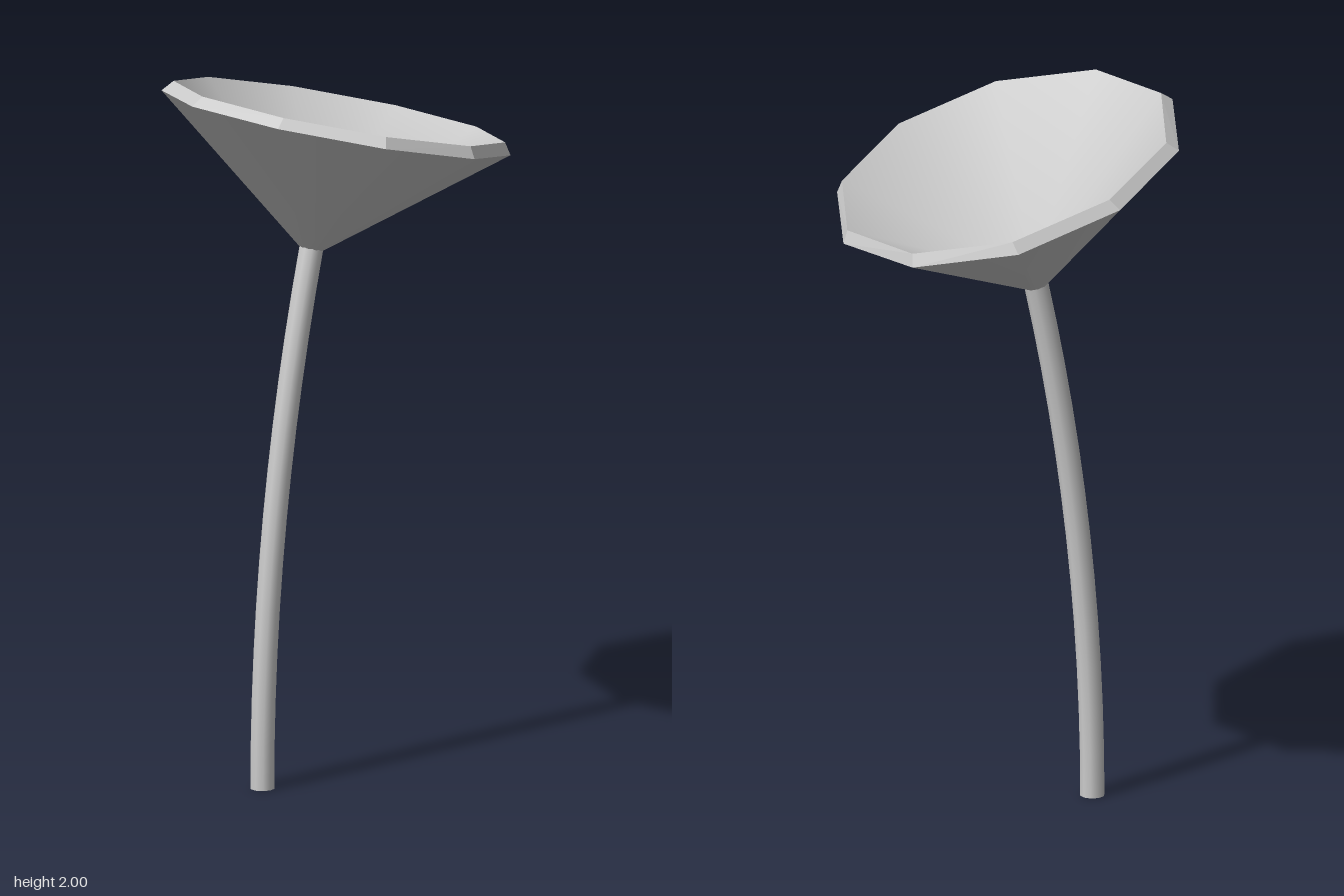
import * as THREE from 'three';
import { mergeVertices } from 'three/addons/utils/BufferGeometryUtils.js';

const SIDES = 10;

// Ring of points: centre + sin * s + cos * c, running from +z towards +x
function ring(centre, s, c) {
  return Array.from({ length: SIDES }, (_, i) => {
    const a = (i / SIDES) * Math.PI * 2;
    return centre.map((v, k) => v + Math.sin(a) * s[k] + Math.cos(a) * c[k]);
  });
}

// Skin joining two rings
function loft(from, to, smooth) {
  const index = [];
  for (let i = 0; i < SIDES; i++) {
    const j = (i + 1) % SIDES;
    index.push(i, j, SIDES + j, i, SIDES + j, SIDES + i);
  }
  let geo = new THREE.BufferGeometry();
  geo.setAttribute('position', new THREE.Float32BufferAttribute([...from, ...to].flat(), 3));
  geo.setIndex(index);
  geo = smooth ? mergeVertices(geo) : geo.toNonIndexed();
  geo.computeVertexNormals();
  return geo;
}

export function createModel() {
  const model = new THREE.Group();
  model.name = 'dishOnStem';
  const material = new THREE.MeshStandardMaterial({ color: 0xcccccc });
  const add = (parent, name, geometry) => {
    const mesh = new THREE.Mesh(geometry, material);
    mesh.name = name;
    parent.add(mesh);
    return mesh;
  };

  // Tilted, slightly skewed funnel with a thick wall
  const bowl = new THREE.Group();
  bowl.name = 'bowl';
  model.add(bowl);
  const foot = ring([0, 1.505, 0.088], [0.033, 0, 0], [0, 0.008, 0.033]);
  const outerRim = ring([0, 1.848, 0], [0.53, 0.022, 0.088], [0, 0.129, 0.517]);
  const innerRim = ring([0, 1.878, -0.012], [0.508, 0.022, 0.09], [0, 0.122, 0.493]);
  const pit = ring([0, 1.535, 0.08], [0, 0, 0], [0, 0, 0]);
  add(bowl, 'bowlOutside', loft(foot, outerRim, true));
  add(bowl, 'bowlRim', loft(outerRim, innerRim, false));
  add(bowl, 'bowlInside', loft(innerRim, pit, true));

  // Stem bending backwards towards the bowl
  const curve = new THREE.QuadraticBezierCurve3(
    new THREE.Vector3(0, 0, 0.265),
    new THREE.Vector3(0, 0.755, 0.265),
    new THREE.Vector3(0, 1.51, 0.088)
  );
  add(model, 'stem', new THREE.TubeGeometry(curve, 12, 0.034, SIDES));

  // Flat underside of the stem
  const cap = add(model, 'stemBase', new THREE.CircleGeometry(0.034, SIDES));
  cap.rotation.x = Math.PI / 2;
  cap.position.set(0, 0, 0.265);

  return model;
}
